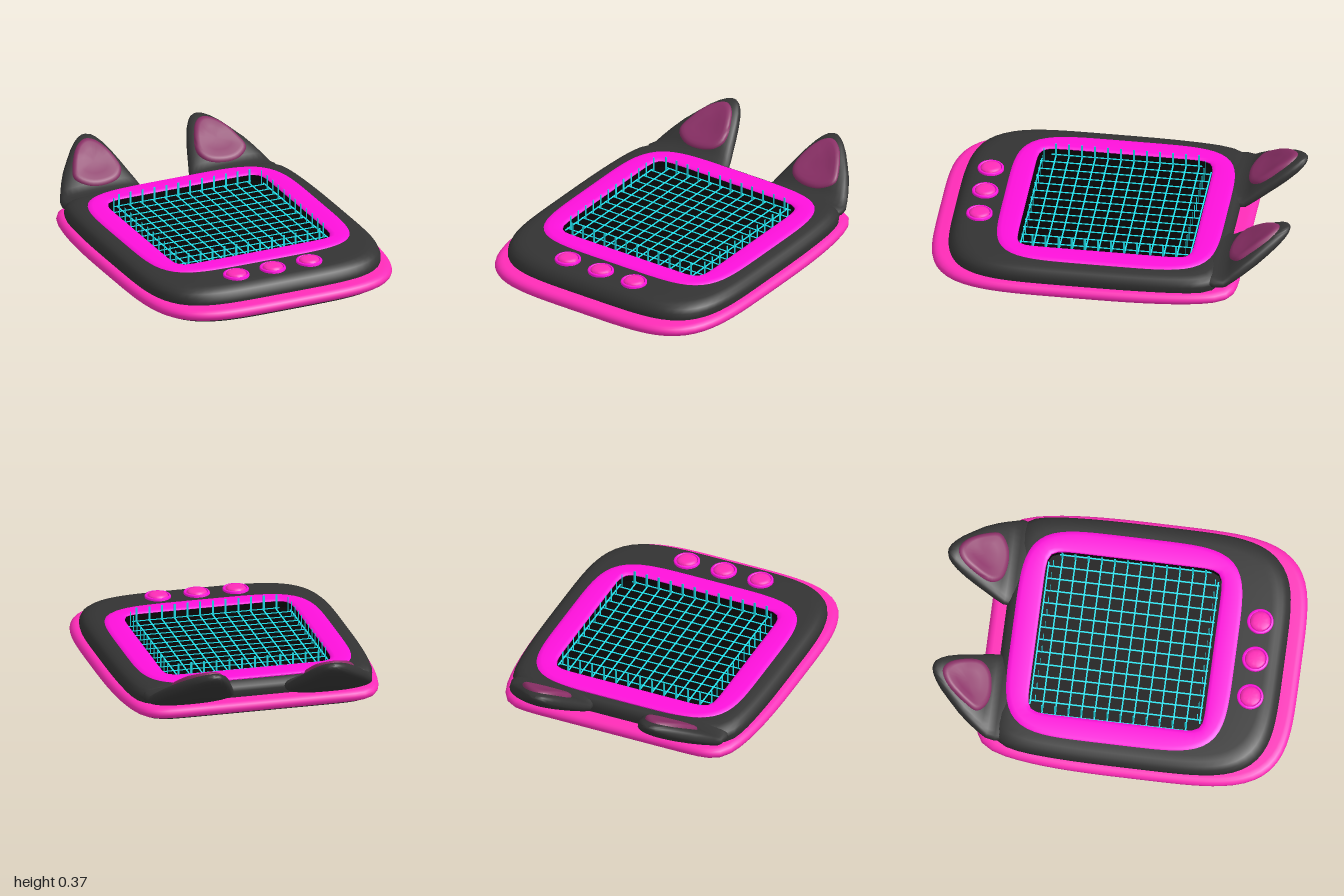
import * as THREE from 'three';
import { toCreasedNormals, mergeGeometries } from 'three/addons/utils/BufferGeometryUtils.js';

const paint = (color) => new THREE.MeshStandardMaterial({ color });
const DARK = paint(0x333333), BLACK = paint(0x050505), PINK = paint(0xff2cb8);
const MAGENTA = paint(0xff10dc), PLUM = paint(0x8a2f66), CYAN = paint(0x20e4f0);

function part(name, geometry, material) {
  const mesh = new THREE.Mesh(geometry, material);
  mesh.name = name;
  return mesh;
}

// Skin a list of equal-length rings, optionally capping each end
function loft(rings, capStart, capEnd, crease = 0.7) {
  const n = rings[0].length, pos = [], idx = [];
  rings.forEach((r) => r.forEach((p) => pos.push(p.x, p.y, p.z)));
  for (let i = 0; i < rings.length - 1; i++) {
    for (let j = 0; j < n; j++) {
      const k = (j + 1) % n, a = i * n + j, b = i * n + k;
      idx.push(a, a + n, b, b, a + n, b + n);
    }
  }
  const cap = (row, flip) => {
    const c = new THREE.Vector3();
    rings[row].forEach((p) => c.addScaledVector(p, 1 / n));
    const m = pos.length / 3;
    pos.push(c.x, c.y, c.z);
    for (let j = 0; j < n; j++) {
      const a = row * n + j, b = row * n + ((j + 1) % n);
      idx.push(m, flip ? b : a, flip ? a : b);
    }
  };
  if (capStart) cap(0, false);
  if (capEnd) cap(rings.length - 1, true);
  const g = new THREE.BufferGeometry();
  g.setAttribute('position', new THREE.Float32BufferAttribute(pos, 3));
  g.setIndex(idx);
  return toCreasedNormals(g, crease);
}

// Rounded-square outline: separate corner sharpness front and back, narrowing to the back;
// slope pulls the front edge further in
function outline(o, inset, y, slope = 0) {
  const N = 112, a = o.a - inset, front = o.front - slope;
  const b = (front - o.back) / 2 - inset, zc = (front + o.back) / 2;
  return Array.from({ length: N }, (_, i) => {
    const t = (i / N) * Math.PI * 2, c = Math.cos(t), s = Math.sin(t);
    const e = s > 0 ? o.nf : o.nb;
    const r = (Math.abs(c) ** e + Math.abs(s) ** e) ** (-1 / e);
    const v = r * s, narrow = v < 0 ? 1 - o.taper * Math.abs(v) ** 3 : 1;
    return new THREE.Vector3(r * c * a * narrow, y, zc + v * b);
  });
}
const shell = (o, profile) => profile.map((row) => outline(o, ...row));

// Ear spine: height at depth z, and the direction its face looks
const spineY = (z) => 0.14 + 0.68 * Math.max(0, -0.67 - z);
const FACE = new THREE.Vector3(0, 0.84, 0.54);

function ear() {
  const g = new THREE.Group();
  // depth, inner edge, outer edge, half thickness, tilt
  const sections = [
    [-0.48, 0.16, 0.58, 0.035, 0], [-0.56, 0.145, 0.635, 0.046, 0], [-0.62, 0.143, 0.652, 0.046, 0.1],
    [-0.67, 0.148, 0.64, 0.046, 0.45], [-0.71, 0.162, 0.62, 0.048, 0.8], [-0.76, 0.182, 0.592, 0.05, 1],
    [-0.82, 0.205, 0.552, 0.05, 1], [-0.88, 0.23, 0.50, 0.047, 1], [-0.93, 0.255, 0.455, 0.04, 1],
    [-0.965, 0.28, 0.415, 0.03, 1], [-0.985, 0.30, 0.385, 0.02, 1], [-0.996, 0.325, 0.36, 0.008, 1],
  ];
  const rings = sections.map(([z, x0, x1, h, tilt]) => {
    const up = new THREE.Vector3(0, 1, 0).lerp(FACE, tilt).normalize();
    return Array.from({ length: 32 }, (_, i) => {
      const t = (i / 32) * Math.PI * 2, s = Math.sin(t);
      const p = new THREE.Vector3((x0 + x1) / 2 + Math.cos(t) * (x1 - x0) / 2, spineY(z), z);
      return p.addScaledVector(up, Math.sign(s) * Math.abs(s) ** 0.7 * h);
    });
  });
  g.add(part('earShell', loft(rings, true, true, 1.2), DARK));

  // Dished pad on the ear's face: rounded triangle, raised lip, sunken middle
  const edge = new THREE.CatmullRomCurve3([
    [-0.07, -0.115], [-0.02, -0.135], [0.05, -0.1], [0.125, 0.005], [0.145, 0.07], [0.08, 0.12],
    [-0.02, 0.13], [-0.11, 0.105], [-0.145, 0.055], [-0.115, -0.05],
  ].map(([x, z]) => new THREE.Vector3(x, 0, z)), true).getPoints(40).slice(0, 40);
  const steps = [[1, 0.015], [1, 0.045], [0.96, 0.054], [0.88, 0.059], [0.78, 0.06], [0.5, 0.053], [0.2, 0.051]];
  const pad = steps.map(([k, h]) => edge.map((p) => {
    const z = -0.825 + p.z * k;
    const dip = 0.15 * Math.max(0, -0.87 - z);
    return new THREE.Vector3(0.378 + p.x * k, spineY(z), z).addScaledVector(FACE, h - dip);
  }));
  g.add(part('earPad', loft(pad, false, true, 1.2), PLUM));
  return g;
}

// Wire lattice: bars across the tray floor, with an upright near each end
function lattice(floorY) {
  const bars = [], w = 0.008, post = 0.011, pitch = 0.0725, top = 0.242, h = top - floorY, y = floorY + h / 2;
  const bar = (sx, sy, sz, x, py, z) => bars.push(new THREE.BoxGeometry(sx, sy, sz).translate(x, py, z));
  for (let i = 0; i < 14; i++) {
    const edge = i === 0 || i === 13, d = (i - 6.5) * pitch;
    const length = edge ? 0.84 : 0.95;
    bar(w, 0.003, length, d * 0.995, floorY, 0.025);
    bar(length, 0.003, w, 0, floorY, 0.02 + d);
    if (edge) continue;
    for (const s of [-1, 1]) {
      bar(post, h, 0.003, d, y, 0.027 + s * 0.45);
      bar(0.003, h, post, s * 0.45, y, 0.02 + d);
    }
  }
  return mergeGeometries(bars);
}

export function createModel() {
  const model = new THREE.Group();
  model.name = 'handheldConsole';

  // Underside plate
  const base = { a: 0.71, back: -0.69, front: 0.965, nf: 4.4, nb: 14, taper: 0.11 };
  model.add(part('basePlate', loft(shell(base, [[0.09, 0], [0.04, 0.007], [0.012, 0.018], [0, 0.032], [0, 0.06]]), true, true), DARK));

  // Rounded bumper rim
  const rim = { a: 0.75, back: -0.735, front: 1, nf: 4.4, nb: 13, taper: 0.11 };
  const rimProfile = [[0.1, 0.03]];
  for (let i = 0; i <= 10; i++) {
    const t = -Math.PI / 2 + (i / 10) * Math.PI;
    rimProfile.push([0.04 - 0.04 * Math.cos(t), 0.065 + 0.033 * Math.sin(t)]);
  }
  rimProfile.push([0.12, 0.098]);
  model.add(part('bumperRim', loft(shell(rim, rimProfile)), PINK));

  // Upper body with a sloping front and an opening for the screen
  const body = { a: 0.71, back: -0.65, front: 0.91, nf: 4.5, nb: 13, taper: 0.06 };
  const opening = { a: 0.48, back: -0.465, front: 0.515, nf: 14, nb: 14, taper: 0 };
  const bodyRings = shell(body, [
    [0.01, 0.08], [0.002, 0.11], [0, 0.135, 0.01], [0.008, 0.157, 0.016],
    [0.025, 0.173, 0.02], [0.05, 0.183, 0.02], [0.085, 0.187, 0.02],
  ]);
  bodyRings.push(...shell(opening, [[-0.01, 0.187], [-0.01, 0.14]]));
  model.add(part('upperBody', loft(bodyRings), DARK));

  // Screen surround
  const surround = { a: 0.61, back: -0.6, front: 0.64, nf: 5, nb: 5, taper: 0 };
  const surroundRings = shell(surround, [[0, 0.178], [0, 0.188], [0.008, 0.194], [0.025, 0.197]]);
  surroundRings.push(...shell(opening, [[-0.02, 0.198], [-0.006, 0.195], [0, 0.19], [0, 0.17]]));
  model.add(part('screenSurround', loft(surroundRings), MAGENTA));

  // Sunken screen tray and lattice
  const floorY = 0.155;
  model.add(part('screenTray', loft(shell(opening, [[0.003, 0.189], [0.003, floorY]]), false, true), BLACK));
  model.add(part('screenLattice', lattice(floorY + 0.002), CYAN));

  // Three domed buttons in collars
  const lathe = (pts) => new THREE.LatheGeometry(pts.map(([x, y]) => new THREE.Vector2(x, y)), 32);
  const collar = lathe([[0.073, 0], [0.073, 0.01], [0.069, 0.015], [0.062, 0.015], [0.056, 0.007]]);
  const cap = lathe([[0.057, 0], [0.057, 0.012], [0.052, 0.019], [0.036, 0.023], [0.018, 0.025], [0, 0.025]]);
  [-0.238, -0.016, 0.206].forEach((x) => {
    const button = new THREE.Group();
    button.name = 'button';
    button.add(part('buttonCollar', toCreasedNormals(collar, 0.9), MAGENTA), part('buttonCap', toCreasedNormals(cap, 0.9), PINK));
    button.position.set(x, 0.185, 0.75);
    model.add(button);
  });

  // Mirrored ears
  for (const side of [1, -1]) {
    const e = ear();
    e.name = side > 0 ? 'leftEar' : 'rightEar';
    e.scale.x = side;
    model.add(e);
  }
  return model;
}
